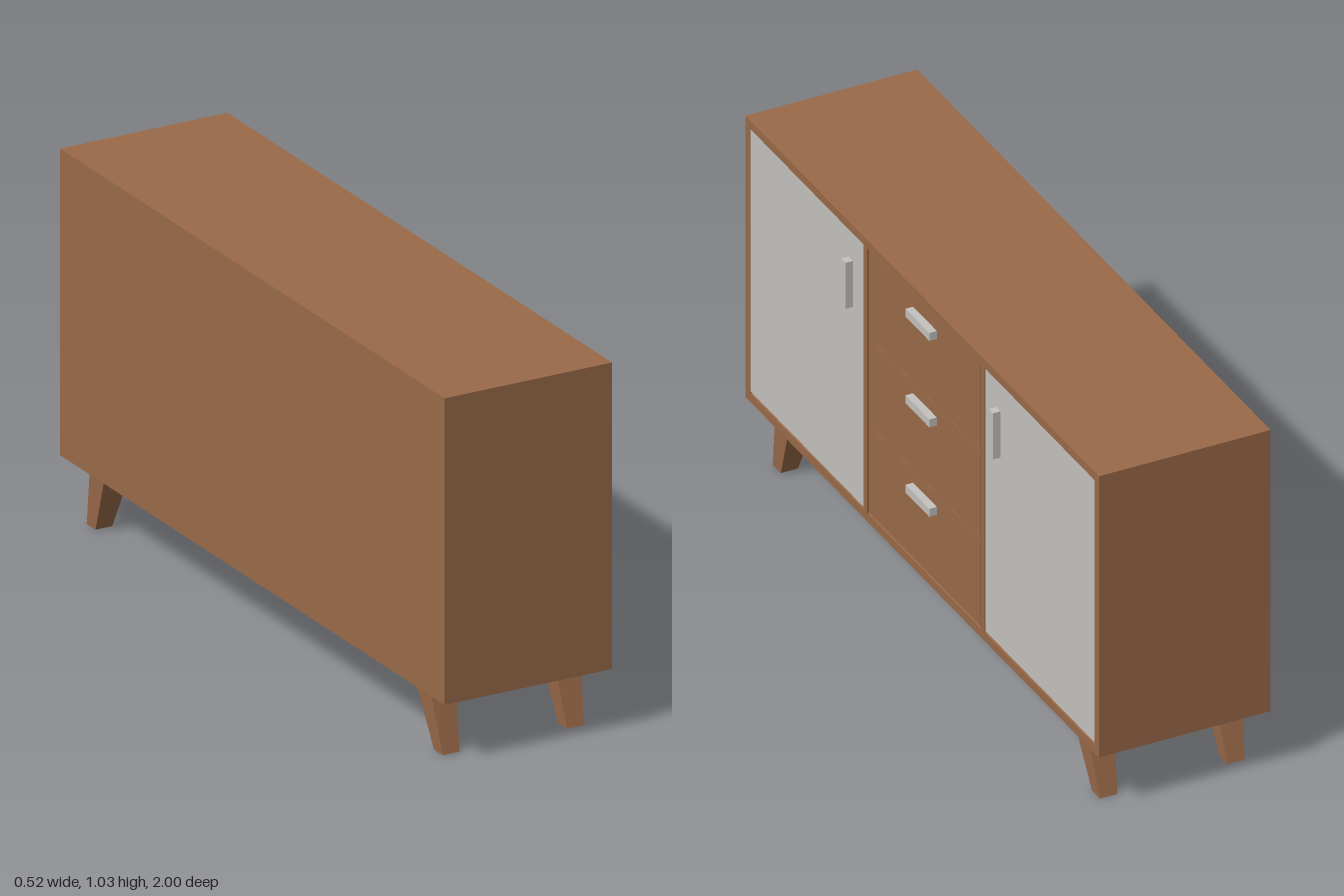
import * as THREE from 'three';

const wood = new THREE.MeshStandardMaterial({ color: 0x9a6a48 });
wood.name = 'wood';
const grey = new THREE.MeshStandardMaterial({ color: 0xc4c2bf });
grey.name = 'paleGrey';

// Box given by its minimum and maximum on each axis
function box(name, material, [x0, x1], [y0, y1], [z0, z1]) {
  const mesh = new THREE.Mesh(new THREE.BoxGeometry(x1 - x0, y1 - y0, z1 - z0), material);
  mesh.position.set((x0 + x1) / 2, (y0 + y1) / 2, (z0 + z1) / 2);
  mesh.name = name;
  return mesh;
}

// Tapered leg whose foot splays outwards along z
function leg(name, x, side) {
  const height = 0.175;
  const geometry = new THREE.BoxGeometry(1, height, 1);
  const p = geometry.attributes.position;
  for (let i = 0; i < p.count; i++) {
    const top = p.getY(i) > 0;
    p.setX(i, p.getX(i) * (top ? 0.078 : 0.05));
    p.setZ(i, p.getZ(i) * (top ? 0.078 : 0.046) + side * (top ? 0.843 : 0.9));
  }
  geometry.computeVertexNormals();
  const mesh = new THREE.Mesh(geometry, wood);
  mesh.position.set(x, height / 2, side > 0 ? 0 : -0.006);
  mesh.name = name;
  return mesh;
}

export function createModel() {
  const model = new THREE.Group();
  model.name = 'sideboard';
  const back = -0.26, front = 0.24, face = 0.238;
  const bottom = 0.175, top = 1.03, t = 0.025;
  const depth = [back, front];
  const inner = [bottom + t, top - t];

  // Carcass boards and the core behind the fronts
  model.add(
    box('topBoard', wood, depth, [top - t, top], [-1, 1]),
    box('bottomBoard', wood, depth, [bottom, bottom + t], [-1, 1]),
    box('leftEndBoard', wood, depth, inner, [-1, -1 + t]),
    box('rightEndBoard', wood, depth, inner, [1 - t, 1]),
    box('frontDivider', wood, [0.2, front], inner, [0.311, 0.333]),
    box('rearDivider', wood, [0.2, front], inner, [-0.353, -0.331]),
    box('core', wood, [back, 0.215], inner, [-1 + t, 1 - t])
  );

  // Doors with upright handles
  const doorHeight = [0.205, 1.003];
  model.add(
    box('doorA', grey, [0.21, face], doorHeight, [0.336, 0.974]),
    box('doorB', grey, [0.21, face], doorHeight, [-0.974, -0.356]),
    box('doorHandleA', grey, [face, 0.26], [0.78, 0.92], [0.395, 0.42]),
    box('doorHandleB', grey, [face, 0.26], [0.78, 0.92], [-0.44, -0.415])
  );

  // Three drawers with level handles
  const seams = [0.205, 0.472, 0.738, 1.003];
  [0.42, 0.692, 0.955].forEach((y, i) => {
    model.add(
      box('drawer' + (i + 1), wood, [0.21, face], [seams[i] + 0.001, seams[i + 1] - 0.001], [-0.324, 0.305]),
      box('drawerHandle' + (i + 1), grey, [face, 0.26], [y - 0.012, y + 0.012], [-0.08, 0.055])
    );
  });

  // Legs
  for (const side of [1, -1]) {
    model.add(leg('frontLeg', 0.175, side), leg('backLeg', -0.196, side));
  }
  return model;
}
